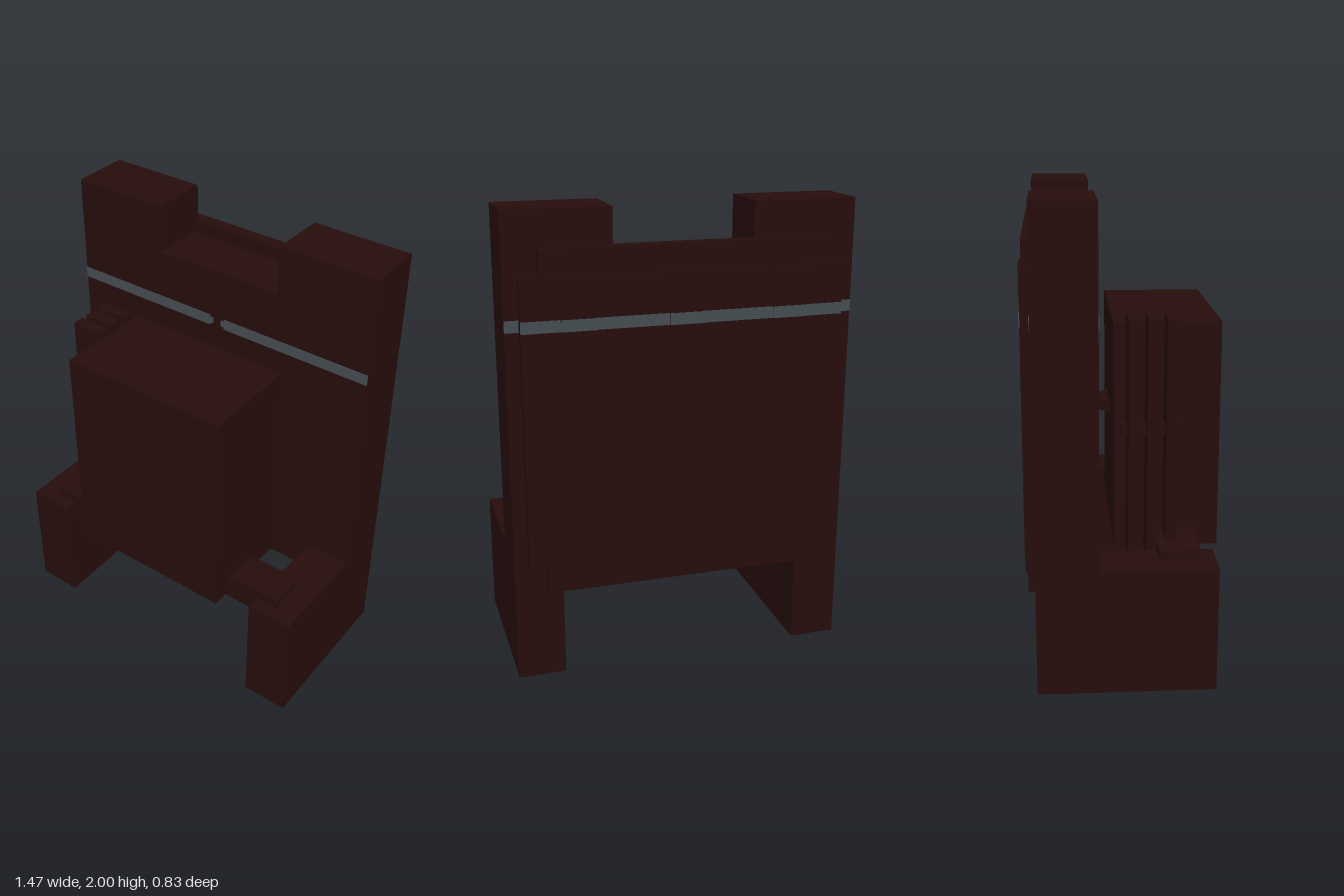
import * as THREE from 'three';

export function createModel() {
  const model = new THREE.Group();
  model.name = 'equipmentRack';
  const body = new THREE.MeshStandardMaterial({ color: 0x260d0c });
  body.name = 'dark maroon';
  const grey = new THREE.MeshStandardMaterial({ color: 0x454d52 });
  grey.name = 'slate grey';

  // Box given by its minimum and maximum on each axis
  function block(name, x0, x1, y0, y1, z0, z1, material = body) {
    const mesh = new THREE.Mesh(new THREE.BoxGeometry(x1 - x0, y1 - y0, z1 - z0), material);
    mesh.position.set((x0 + x1) / 2, (y0 + y1) / 2, (z0 + z1) / 2);
    mesh.name = name;
    model.add(mesh);
  }
  // Same box on the left (+x) and right (-x)
  function pair(name, x0, x1, ...rest) {
    block(name + 'Left', x0, x1, ...rest);
    block(name + 'Right', -x1, -x0, ...rest);
  }

  // Tall back wall with two raised towers and forward feet
  pair('tower', 0.295, 0.735, 0.4, 2, -0.37, -0.112);
  pair('rearLeg', 0.53, 0.735, 0, 0.4, -0.37, -0.112);
  pair('foot', 0.53, 0.735, 0, 0.54, -0.112, 0.37);
  block('centreWall', -0.295, 0.295, 0.4, 1.79, -0.34, -0.112);

  // Layered back panel with three vertical ribs
  block('backRailUpper', -0.295, 0.295, 1.7, 1.85, -0.4, -0.34);
  block('backRail', -0.6, 0.6, 0.4, 1.85, -0.4, -0.365);
  block('backPanel', -0.677, 0.677, 0.52, 1.74, -0.408, -0.365);
  const ribs = [-0.445, 0, 0.445];
  for (const x of ribs) block('backRib', x - 0.073, x + 0.073, 0.52, 1.74, -0.414, -0.4);

  // Cabinet carried on a crossbar between the feet
  block('crossbar', -0.63, 0.63, 0.46, 0.58, 0.137, 0.307);
  block('cabinet', -0.383, 0.383, 0.5, 1.48, -0.035, 0.41);

  // Three upright side plates joined by a pin
  for (const z of [0.042, 0.12, 0.198]) block('sidePlate', -0.518, -0.375, 0.5, 1.52, z - 0.026, z + 0.026);
  block('platePin', -0.47, -0.42, 1.02, 1.07, -0.012, 0.248);

  // Angular handle on the back of the cabinet
  const outline = [[-0.105, 0.032], [-0.053, 0.089], [0.053, 0.089], [0.105, 0.032],
    [0.054, 0.032], [0.036, 0.052], [-0.036, 0.052], [-0.054, 0.032]];
  const handleShape = new THREE.Shape(outline.map(([x, y]) => new THREE.Vector2(x, y)));
  const handle = new THREE.Mesh(
    new THREE.ExtrudeGeometry(handleShape, { depth: 0.05, bevelEnabled: false }), body);
  handle.rotation.x = -Math.PI / 2;
  handle.position.y = 1.02;
  handle.name = 'cabinetHandle';
  model.add(handle);

  // Front stripe, broken at the centre with tapered ends
  const s0 = 1.525, s1 = 1.573;
  pair('frontStripe', 0.035, 0.735, s0, s1, -0.113, -0.109, grey);
  pair('frontStripeTip', 0.02, 0.035, s0 + 0.01, s1 - 0.01, -0.113, -0.109, grey);

  // Back stripe stepping over towers, panel and ribs
  pair('towerStripe', 0.677, 0.735, s0, s1, -0.373, -0.369, grey);
  block('panelStripe', -0.677, 0.677, s0, s1, -0.411, -0.407, grey);
  for (const x of ribs) block('ribStripe', x - 0.073, x + 0.073, s0, s1, -0.417, -0.412, grey);

  return model;
}
